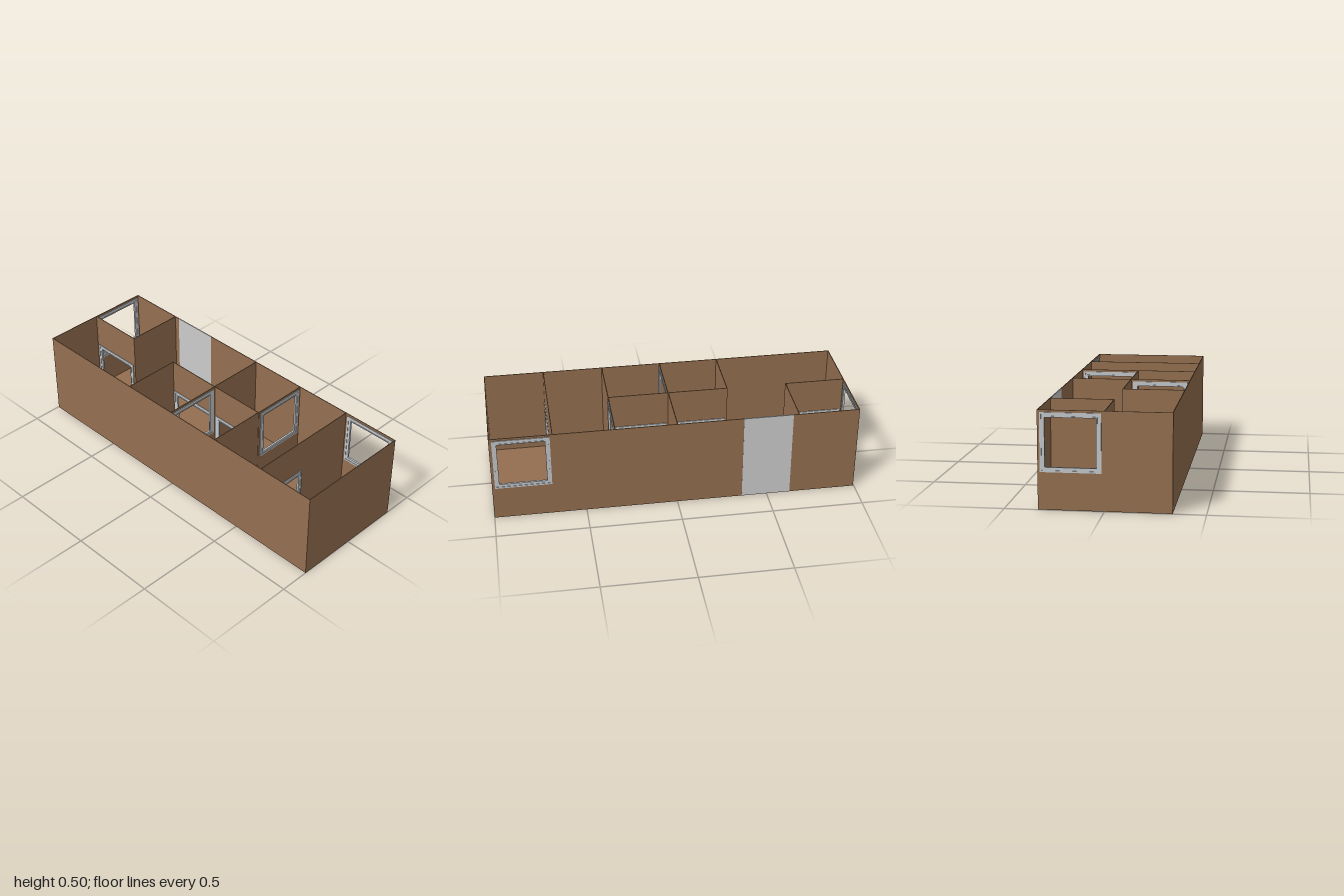
import * as THREE from 'three';

const H = 0.5, T = 0.004; // wall height and thickness

const wallMat = new THREE.MeshStandardMaterial({ color: 0x946f50 });
wallMat.name = 'brown wall';
const doorMat = new THREE.MeshStandardMaterial({ color: 0xcccccc });
doorMat.name = 'light grey door';
const frameMat = new THREE.MeshStandardMaterial({ color: 0xc4c8cc });
frameMat.name = 'pale grey frame';

// counter-clockwise rectangle used for outlines and holes
function rect(Type, x0, y0, x1, y1) {
  const p = new Type();
  p.moveTo(x0, y0);
  p.lineTo(x1, y0);
  p.lineTo(x1, y1);
  p.lineTo(x0, y1);
  p.closePath();
  return p;
}

// extruded plate, centred on its own depth
function plate(name, shape, depth, mat) {
  const geo = new THREE.ExtrudeGeometry(shape, { depth, bevelEnabled: false });
  geo.translate(0, 0, -depth / 2);
  const mesh = new THREE.Mesh(geo, mat);
  mesh.name = name;
  return mesh;
}

// rectangular ring inset by a..b from an opening's outer edge
function ring(name, o, a, b, depth) {
  const s = rect(THREE.Shape, o.u0 + a, o.y0 + a, o.u1 - a, o.y1 - a);
  s.holes.push(rect(THREE.Path, o.u0 + b, o.y0 + b, o.u1 - b, o.y1 - b));
  return plate(name, s, depth, frameMat);
}

const windowAt = (u0) => ({ u0, u1: u0 + 0.305, y0: 0.19, y1: 0.488, kind: 'window' });
const doorAt = (u0) => ({ u0, u1: u0 + 0.305, y0: 0.004, y1: 0.305, kind: 'doorway' });

// wall from a to b along x (at z = at) or along z (at x = at), with framed openings
function wall(name, axis, at, a, b, openings = []) {
  const g = new THREE.Group();
  g.name = name;
  const s = rect(THREE.Shape, a, 0, b, H);
  for (const o of openings) {
    s.holes.push(rect(THREE.Path, o.u0 + 0.012, o.y0 + 0.012, o.u1 - 0.012, o.y1 - 0.012));
    // raised outer trim, recessed middle, raised inner lip
    g.add(ring(o.kind + 'OuterTrim', o, 0, 0.009, 0.012));
    g.add(ring(o.kind + 'Frame', o, 0.009, 0.019, 0.007));
    g.add(ring(o.kind + 'InnerLip', o, 0.019, 0.025, 0.011));
  }
  g.add(plate('wallPanel', s, T, wallMat));
  if (axis === 'z') {
    g.rotation.y = -Math.PI / 2;
    g.position.x = at;
  } else g.position.z = at;
  return g;
}

export function createModel() {
  const model = new THREE.Group();
  model.name = 'openRoofHouse';
  const L = -0.994, R = 0.998, B = -0.329, F = 0.333;

  // floor slab
  const floor = new THREE.Mesh(new THREE.BoxGeometry(R - L, T, F - B), wallMat);
  floor.position.set((L + R) / 2, T / 2, (F + B) / 2);
  floor.name = 'floor';
  model.add(floor);

  // outer walls
  model.add(
    wall('frontWall', 'x', F, L - T / 2, R + T / 2),
    wall('backWallRightPart', 'x', B, L - T / 2, -0.63),
    wall('backWallLeftPart', 'x', B, -0.36, R + T / 2, [windowAt(0.68)]),
    wall('leftEndWall', 'z', R, B, F),
    wall('rightEndWall', 'z', L, B, F, [windowAt(-0.319)])
  );

  // entrance door in the back wall
  const door = new THREE.Mesh(new THREE.BoxGeometry(0.27, H, 0.006), doorMat);
  door.position.set(-0.495, H / 2, B);
  door.name = 'entranceDoor';
  model.add(door);

  // partitions
  model.add(
    wall('cornerRoomSide', 'z', -0.662, B, 0.002),
    wall('cornerRoomFront', 'x', 0.002, L, -0.66, [doorAt(-0.981)]),
    wall('middleRoomsBack', 'x', 0.002, -0.332, 0.335, [doorAt(-0.32), doorAt(0.015)]),
    wall('middleRoomSide', 'z', -0.33, 0.002, F),
    wall('centreWallBack', 'z', 0, B, 0.002),
    wall('centreWallFront', 'z', 0.002, 0.002, F, [windowAt(0.015)]),
    wall('innerWallFront', 'z', 0.333, 0.002, F),
    wall('innerWallBack', 'z', 0.335, B, 0.002, [windowAt(-0.317)]),
    wall('endRoomWall', 'z', 0.666, B, F, [doorAt(0.016)])
  );
  return model;
}
